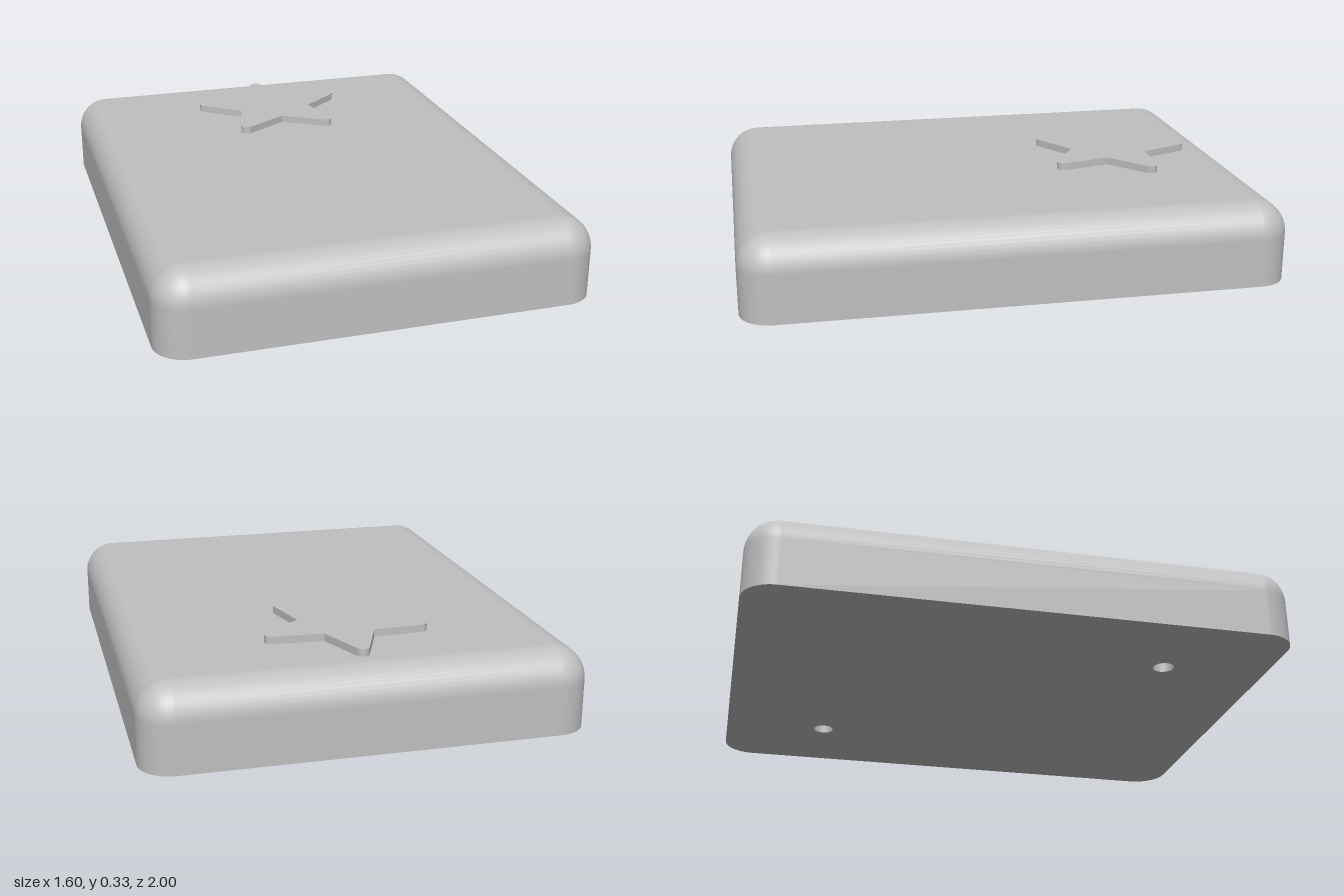
import * as THREE from 'three';

const W = 1.6, D = 2, H = 0.3, R = 0.12;            // slab size and edge radius
const HOLE_R = 0.04, HOLE_DEPTH = 0.15;
const HOLES = [[0.45, -0.6], [-0.45, 0.6]];         // x, z

// Side wall and rounded top edge: rings of a rounded rectangle, rising and closing in
function shellGeometry() {
  const seg = 12, pos = [], nor = [], idx = [];
  const cx = W / 2 - R, cz = D / 2 - R;
  const rows = [[0, 0]];                            // [base height, fillet angle]
  for (let j = 0; j <= seg; j++) rows.push([H - R, j / seg * Math.PI / 2]);
  const corners = [[1, 1], [-1, 1], [-1, -1], [1, -1]];
  const cols = 4 * (seg + 1) + 1;
  for (const [y, t] of rows) {
    for (let i = 0; i < cols; i++) {
      const q = Math.floor(i / (seg + 1)) % 4;
      const a = (q + (i % (seg + 1)) / seg) * Math.PI / 2;
      const n = [Math.cos(a) * Math.cos(t), Math.sin(t), Math.sin(a) * Math.cos(t)];
      pos.push(corners[q][0] * cx + R * n[0], y + R * n[1], corners[q][1] * cz + R * n[2]);
      nor.push(...n);
    }
  }
  for (let j = 0; j < rows.length - 1; j++) {
    for (let i = 0; i < cols - 1; i++) {
      const a = j * cols + i, b = a + cols;
      idx.push(a, b, a + 1, a + 1, b, b + 1);
    }
  }
  const g = new THREE.BufferGeometry();
  g.setAttribute('position', new THREE.Float32BufferAttribute(pos, 3));
  g.setAttribute('normal', new THREE.Float32BufferAttribute(nor, 3));
  g.setIndex(idx);
  return g;
}

// Underside: rounded rectangle pierced by the holes
function undersideGeometry() {
  const s = new THREE.Shape(), x = W / 2 - R, z = D / 2 - R, q = Math.PI / 2;
  [[x, z], [-x, z], [-x, -z], [x, -z]].forEach(([a, b], k) => s.absarc(a, b, R, k * q, (k + 1) * q, false));
  for (const [hx, hz] of HOLES) s.holes.push(new THREE.Path().absarc(hx, hz, HOLE_R, 0, Math.PI * 2, true));
  return new THREE.ShapeGeometry(s, 12).rotateX(Math.PI / 2);
}

// Five-pointed star with rounded tips
function starGeometry() {
  const outer = 0.36, inner = 0.157, r = 0.025, step = Math.PI / 5;
  const half = Math.atan2(inner * Math.sin(step), outer - inner * Math.cos(step));
  const c = outer - r / Math.sin(half), sweep = Math.PI / 2 - half;
  const s = new THREE.Shape();
  for (let k = 0; k < 5; k++) {
    const t = Math.PI / 2 + 2 * k * step;
    s.absarc(c * Math.cos(t), c * Math.sin(t), r, t - sweep, t + sweep, false);
    s.lineTo(inner * Math.cos(t + step), inner * Math.sin(t + step));
  }
  return new THREE.ExtrudeGeometry(s, { depth: 0.028, bevelEnabled: false, curveSegments: 10 }).rotateX(-Math.PI / 2);
}

export function createModel() {
  const model = new THREE.Group();
  model.name = 'slabWithStar';
  const grey = new THREE.MeshStandardMaterial({ color: 0xc0c0c0, side: THREE.DoubleSide });
  grey.name = 'grey';
  const add = (name, geometry, x = 0, y = 0, z = 0) => {
    const m = new THREE.Mesh(geometry, grey);
    m.name = name;
    m.position.set(x, y, z);
    model.add(m);
  };

  add('roundedSides', shellGeometry());
  add('topFace', new THREE.PlaneGeometry(W - 2 * R, D - 2 * R).rotateX(-Math.PI / 2), 0, H, 0);
  add('underside', undersideGeometry());
  add('star', starGeometry(), 0, H, -0.527);

  // Blind round holes in the underside
  for (const [x, z] of HOLES) {
    add('holeWall', new THREE.CylinderGeometry(HOLE_R, HOLE_R, HOLE_DEPTH, 24, 1, true), x, HOLE_DEPTH / 2, z);
    add('holeEnd', new THREE.CircleGeometry(HOLE_R, 24).rotateX(Math.PI / 2), x, HOLE_DEPTH, z);
  }
  return model;
}
